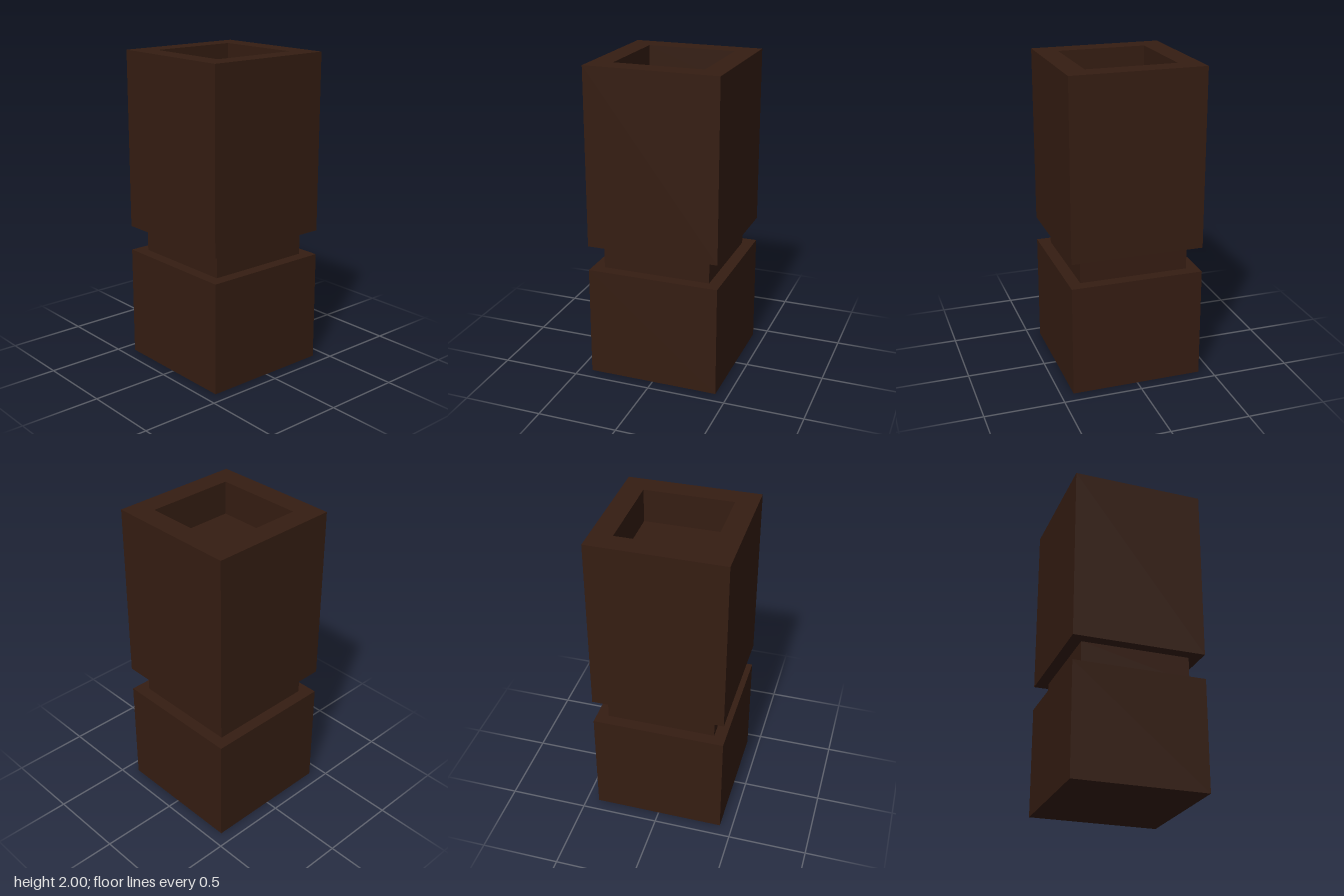
import * as THREE from 'three';

const HALF = 0.42;        // half width of the blocks
const NECK = 0.345;       // half width of the neck
const RECESS = 0.283;     // half width of the opening
const NECK_BOTTOM = 0.71, NECK_TOP = 0.87, TOP = 2, RECESS_FLOOR = 1.785;

const material = new THREE.MeshStandardMaterial({ color: 0x351d12, flatShading: true });

// Square part swept from a profile of [half width, height], listed upward along the outside
function squarePart(name, profile) {
  const points = profile.map(([half, y]) => new THREE.Vector2(half * Math.SQRT2, y));
  const geometry = new THREE.LatheGeometry(points, 4, Math.PI / 4).toNonIndexed();
  geometry.computeVertexNormals();
  const mesh = new THREE.Mesh(geometry, material);
  mesh.name = name;
  return mesh;
}

export function createModel() {
  const group = new THREE.Group();
  group.name = 'squarePost';
  group.add(
    // Solid block with a ledge around the neck
    squarePart('baseBlock', [[0, 0], [HALF, 0], [HALF, NECK_BOTTOM], [NECK, NECK_BOTTOM]]),
    // Narrow groove between the blocks
    squarePart('neck', [[NECK, NECK_BOTTOM], [NECK, NECK_TOP]]),
    // Tall block with a shallow square recess in its top
    squarePart('upperBlock', [
      [NECK, NECK_TOP], [HALF, NECK_TOP], [HALF, TOP],
      [RECESS, TOP], [RECESS, RECESS_FLOOR], [0, RECESS_FLOOR],
    ]),
  );
  return group;
}
